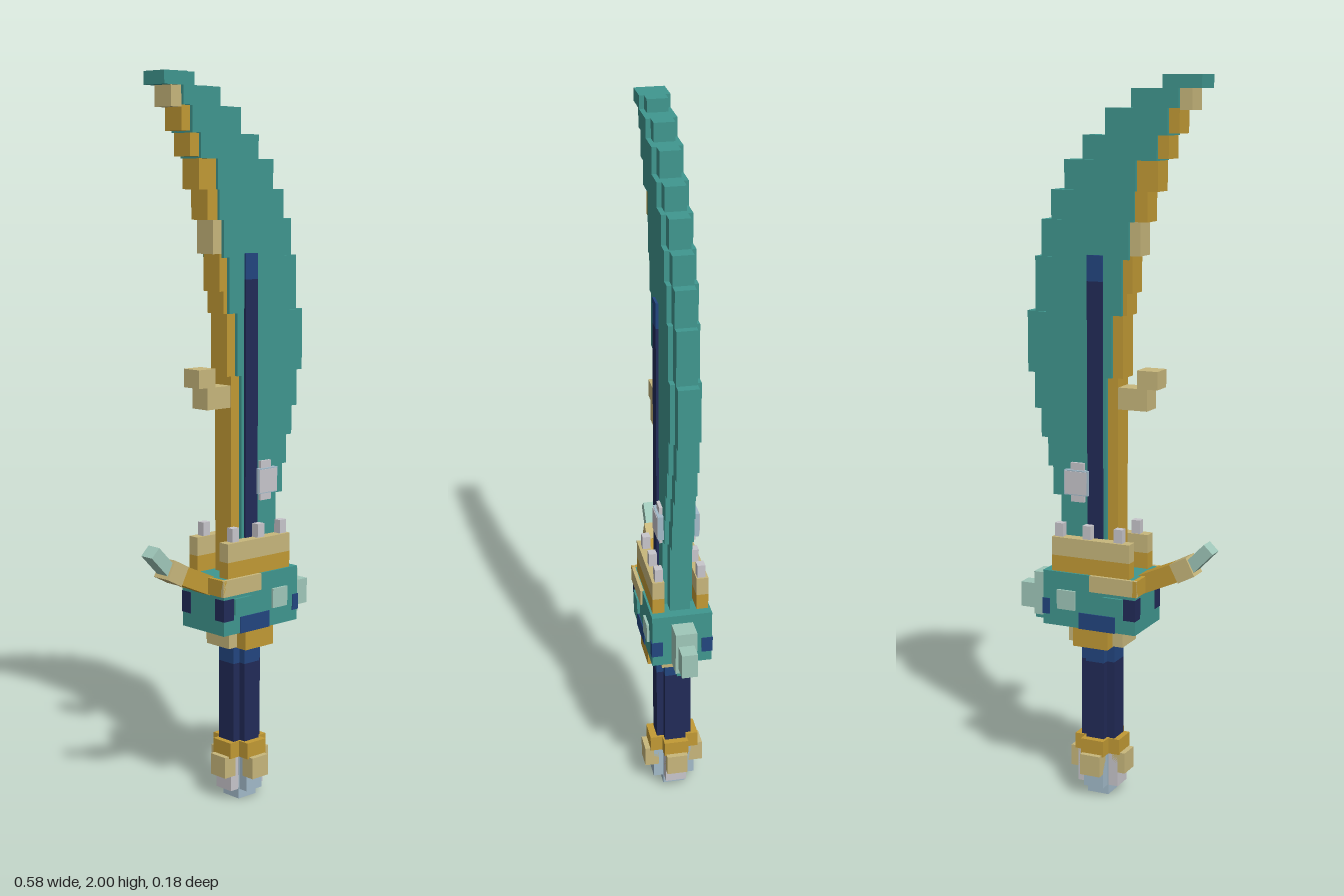
import * as THREE from 'three';

const mat = (name, color) => Object.assign(new THREE.MeshStandardMaterial({ color }), { name });
const teal = mat('teal', 0x40978f), paleTeal = mat('paleTeal', 0xa0c8ba);
const gold = mat('gold', 0xc29a35), paleGold = mat('paleGold', 0xc8b77c);
const navy = mat('navy', 0x222b58), blue = mat('blue', 0x234680);
const steel = mat('steel', 0xa3bbca), silver = mat('silver', 0xc8c6cc);

export function createModel() {
  const root = new THREE.Group();
  root.name = 'curvedSword';

  const section = (name) => {
    const g = new THREE.Group();
    g.name = name;
    root.add(g);
    return g;
  };
  // Box from its limits in x, y and z
  const box = (g, name, m, x0, x1, y0, y1, z0, z1) => {
    const mesh = new THREE.Mesh(new THREE.BoxGeometry(x1 - x0, y1 - y0, z1 - z0), m);
    mesh.position.set((x0 + x1) / 2, (y0 + y1) / 2, (z0 + z1) / 2);
    mesh.name = name;
    g.add(mesh);
    return mesh;
  };
  // Box centred on z = 0 with half depth h
  const mid = (g, name, m, x0, x1, y0, y1, h) => box(g, name, m, x0, x1, y0, y1, -h, h);
  // The same box on the front and the back
  const pair = (g, name, m, x0, x1, y0, y1, z0, z1) => {
    box(g, name + 'Front', m, x0, x1, y0, y1, z0, z1);
    box(g, name + 'Back', m, x0, x1, y0, y1, -z1, -z0);
  };
  // Tilted bar running from a to b
  const bar = (g, name, m, a, b, width, h) => {
    const dx = b[0] - a[0], dy = b[1] - a[1];
    const mesh = new THREE.Mesh(new THREE.BoxGeometry(Math.hypot(dx, dy), width, h * 2), m);
    mesh.position.set((a[0] + b[0]) / 2, (a[1] + b[1]) / 2, 0);
    mesh.rotation.z = Math.atan2(dy, dx);
    mesh.name = name;
    g.add(mesh);
  };

  // Blade: stepped rows of [bottom, top, left, right], each with a thinner spine
  const blade = section('blade');
  const rows = [
    [1.965, 2.0, -0.255, -0.14], [1.915, 1.965, -0.19, -0.05], [1.845, 1.915, -0.16, 0.025],
    [1.78, 1.845, -0.13, 0.09], [1.70, 1.78, -0.07, 0.145], [1.62, 1.70, -0.065, 0.185],
    [1.52, 1.62, -0.05, 0.215], [1.37, 1.52, -0.03, 0.235], [1.20, 1.37, 0, 0.26],
    [1.10, 1.20, 0.015, 0.24], [1.02, 1.10, 0.015, 0.22], [0.94, 1.02, 0.015, 0.20],
    [0.86, 0.94, 0.015, 0.185], [0.64, 0.86, 0.015, 0.16],
  ];
  rows.forEach(([y0, y1, x0, x1]) => {
    mid(blade, 'bladeRow', teal, x0, x1 - 0.038, y0, y1, 0.041);
    mid(blade, 'bladeSpine', teal, x1 - 0.05, x1, y0, y1, 0.028);
  });

  // Gold cutting edge: [bottom, top, left, right, material]
  const edge = section('cuttingEdge');
  [
    [1.91, 1.965, -0.225, -0.19, paleGold], [1.85, 1.915, -0.19, -0.16, gold],
    [1.785, 1.85, -0.16, -0.12, gold], [1.70, 1.785, -0.13, -0.07, gold],
    [1.62, 1.70, -0.10, -0.06, gold], [1.53, 1.62, -0.08, -0.05, paleGold],
    [1.43, 1.53, -0.057, -0.03, gold], [1.37, 1.43, -0.042, -0.03, gold],
    [1.20, 1.37, -0.03, 0, gold], [0.65, 1.20, -0.015, 0.015, gold],
  ].forEach(([y0, y1, x0, x1, m]) => mid(edge, 'edgeStep', m, x0, x1, y0, y1, 0.032));
  mid(edge, 'edgeHook', paleGold, -0.10, -0.015, 1.115, 1.175, 0.03);
  mid(edge, 'edgeHookTip', paleGold, -0.13, -0.07, 1.175, 1.225, 0.03);

  // Dark inlay and gem on both faces of the blade
  const inlay = section('bladeInlay');
  pair(inlay, 'inlay', navy, 0.025, 0.07, 0.66, 1.46, 0.04, 0.048);
  pair(inlay, 'inlayTop', blue, 0.025, 0.07, 1.46, 1.53, 0.04, 0.048);
  mid(inlay, 'gem', steel, 0.065, 0.137, 0.87, 0.94, 0.057);
  pair(inlay, 'gemSetting', silver, 0.08, 0.12, 0.85, 0.96, 0.04, 0.05);
  pair(inlay, 'gemFace', silver, 0.068, 0.134, 0.873, 0.937, 0.056, 0.059);

  // Guard: block, side plates with pegs and painted panels
  const guard = section('guard');
  mid(guard, 'guardBlock', teal, -0.09, 0.19, 0.50, 0.655, 0.084);
  pair(guard, 'guardPlate', gold, -0.07, 0.165, 0.65, 0.70, 0.045, 0.078);
  pair(guard, 'guardPlateTop', paleGold, -0.07, 0.165, 0.70, 0.752, 0.045, 0.078);
  [-0.045, 0.05, 0.135].forEach((x) => pair(guard, 'peg', silver, x, x + 0.025, 0.74, 0.79, 0.048, 0.07));
  pair(guard, 'hornBand', paleGold, -0.097, 0.045, 0.61, 0.656, 0.08, 0.09);
  mid(guard, 'hornBandEnd', gold, -0.097, -0.085, 0.61, 0.656, 0.09);
  pair(guard, 'tealPanel', teal, -0.055, 0.005, 0.555, 0.60, 0.084, 0.092);
  pair(guard, 'palePanel', paleTeal, 0.09, 0.145, 0.55, 0.605, 0.084, 0.091);
  pair(guard, 'bluePanel', blue, -0.03, 0.08, 0.499, 0.545, 0.082, 0.087);
  pair(guard, 'navyPanel', navy, -0.091, -0.055, 0.54, 0.60, 0.05, 0.086);
  pair(guard, 'bluePatch', blue, 0.17, 0.192, 0.53, 0.575, 0.055, 0.086);

  // Knob on the spine side and curved horn on the edge side
  mid(guard, 'knobBase', teal, 0.185, 0.245, 0.495, 0.53, 0.026);
  mid(guard, 'knob', paleTeal, 0.187, 0.247, 0.505, 0.63, 0.03);
  mid(guard, 'knobEnd', paleTeal, 0.247, 0.293, 0.52, 0.592, 0.022);
  bar(guard, 'hornArm', gold, [-0.07, 0.625], [-0.19, 0.678], 0.052, 0.028);
  bar(guard, 'hornBend', paleGold, [-0.18, 0.672], [-0.228, 0.697], 0.056, 0.029);
  bar(guard, 'hornTip', paleTeal, [-0.215, 0.685], [-0.278, 0.75], 0.036, 0.022);

  // Cross-shaped collar and grip
  const grip = section('grip');
  mid(grip, 'collar', gold, -0.005, 0.10, 0.445, 0.50, 0.08);
  mid(grip, 'collarSides', paleGold, -0.035, 0.13, 0.447, 0.50, 0.045);
  [[0.17, 0.395, navy, 'grip'], [0.395, 0.445, blue, 'gripTop']].forEach(([y0, y1, m, name]) => {
    mid(grip, name + 'Wide', m, -0.003, 0.098, y0, y1, 0.03);
    mid(grip, name + 'Deep', m, 0.02, 0.075, y0, y1, 0.05);
  });

  // Pommel: ring, four claws and a gem
  const pommel = section('pommel');
  mid(pommel, 'ringWide', gold, -0.02, 0.117, 0.125, 0.17, 0.035);
  mid(pommel, 'ringDeep', gold, 0.013, 0.083, 0.125, 0.171, 0.07);
  mid(pommel, 'clawLeft', paleGold, 0.09, 0.132, 0.07, 0.13, 0.03);
  mid(pommel, 'clawRight', paleGold, -0.035, 0.005, 0.07, 0.13, 0.03);
  pair(pommel, 'claw', paleGold, 0.018, 0.078, 0.07, 0.13, 0.045, 0.085);
  mid(pommel, 'gemCore', steel, 0.015, 0.08, 0, 0.13, 0.032);
  mid(pommel, 'gemWide', silver, -0.013, 0.11, 0.028, 0.125, 0.03);
  mid(pommel, 'gemDeep', steel, 0.018, 0.078, 0.028, 0.125, 0.06);
  return root;
}
